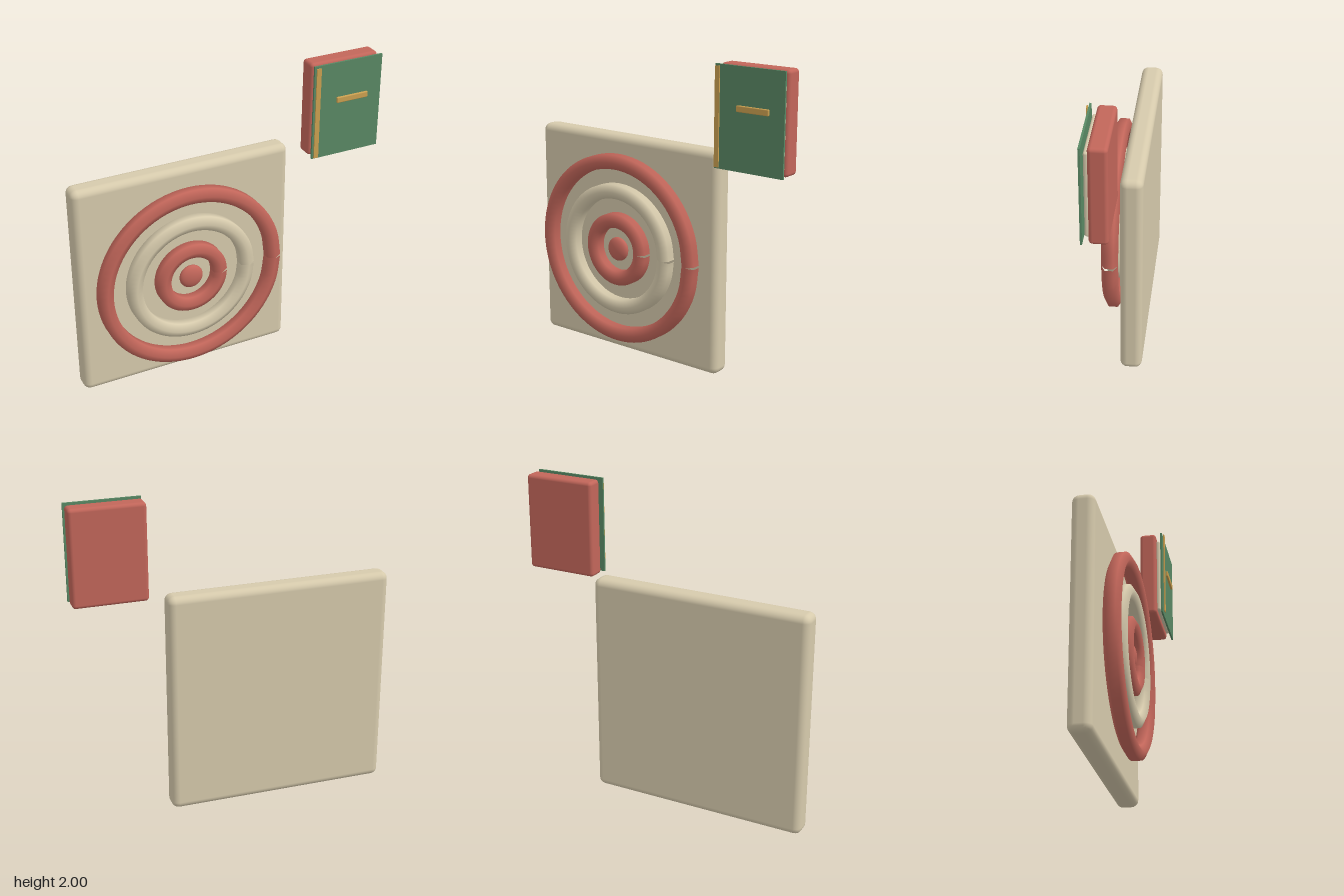
import * as THREE from 'three';
import { RoundedBoxGeometry } from 'three/addons/geometries/RoundedBoxGeometry.js';

const mat = (name, color) => {
  const m = new THREE.MeshStandardMaterial({ color });
  m.name = name;
  return m;
};

export function createModel() {
  const cream = mat('cream', 0xd6caac);
  const red = mat('brick red', 0xc2665a);
  const green = mat('green', 0x598864);
  const gold = mat('gold', 0xcba050);
  const model = new THREE.Group();
  model.name = 'targetAndBook';

  const add = (parent, name, geometry, material, x = 0, y = 0, z = 0) => {
    const mesh = new THREE.Mesh(geometry, material);
    mesh.name = name;
    mesh.position.set(x, y, z);
    parent.add(mesh);
    return mesh;
  };

  // Block given by its limits on each axis, rounded when a radius is given
  const block = (parent, name, material, [x0, x1], [y0, y1], [z0, z1], radius = 0) => {
    const size = [x1 - x0, y1 - y0, z1 - z0];
    const geometry = radius ? new RoundedBoxGeometry(...size, 3, radius) : new THREE.BoxGeometry(...size);
    return add(parent, name, geometry, material, (x0 + x1) / 2, (y0 + y1) / 2, (z0 + z1) / 2);
  };

  // Target: square board with three six-sided rings and a flattened centre
  const target = new THREE.Group();
  target.name = 'target';
  model.add(target);
  block(target, 'board', cream, [-0.988, 0.44], [0, 1.44], [-0.153, -0.014], 0.045);

  const cx = -0.275, cy = 0.72, cz = 0.063;
  const ring = (name, radius, material) => {
    // Open path whose ends meet, leaving a small notch at the seam
    const count = 20;
    const points = [];
    for (let i = 0; i <= count; i++) {
      const a = (i / count) * Math.PI * 2;
      points.push(new THREE.Vector3(Math.cos(a) * radius, Math.sin(a) * radius, 0));
    }
    const path = new THREE.CatmullRomCurve3(points);
    add(target, name, new THREE.TubeGeometry(path, 80, 0.053, 6, false), material, cx, cy, cz);
  };
  ring('innerRing', 0.191, red);
  ring('middleRing', 0.382, cream);
  ring('outerRing', 0.573, red);
  add(target, 'bullseye', new THREE.SphereGeometry(0.078, 28, 18), red, cx, cy, cz).scale.z = 0.45;

  // Book: red body, page block, front cover, spine strip and title bar
  const book = new THREE.Group();
  book.name = 'book';
  model.add(book);
  block(book, 'bookBody', red, [0.52, 0.986], [1.39, 2], [-0.018, 0.092], 0.022);
  block(book, 'pages', cream, [0.565, 0.97], [1.43, 1.965], [0.086, 0.114], 0.012);
  block(book, 'frontCover', green, [0.518, 0.988], [1.39, 2], [0.125, 0.137]);
  block(book, 'spineStrip', gold, [0.526, 0.557], [1.4, 1.99], [0.145, 0.152]);
  block(book, 'titleBar', gold, [0.674, 0.891], [1.74, 1.778], [0.137, 0.153], 0.006);

  return model;
}
